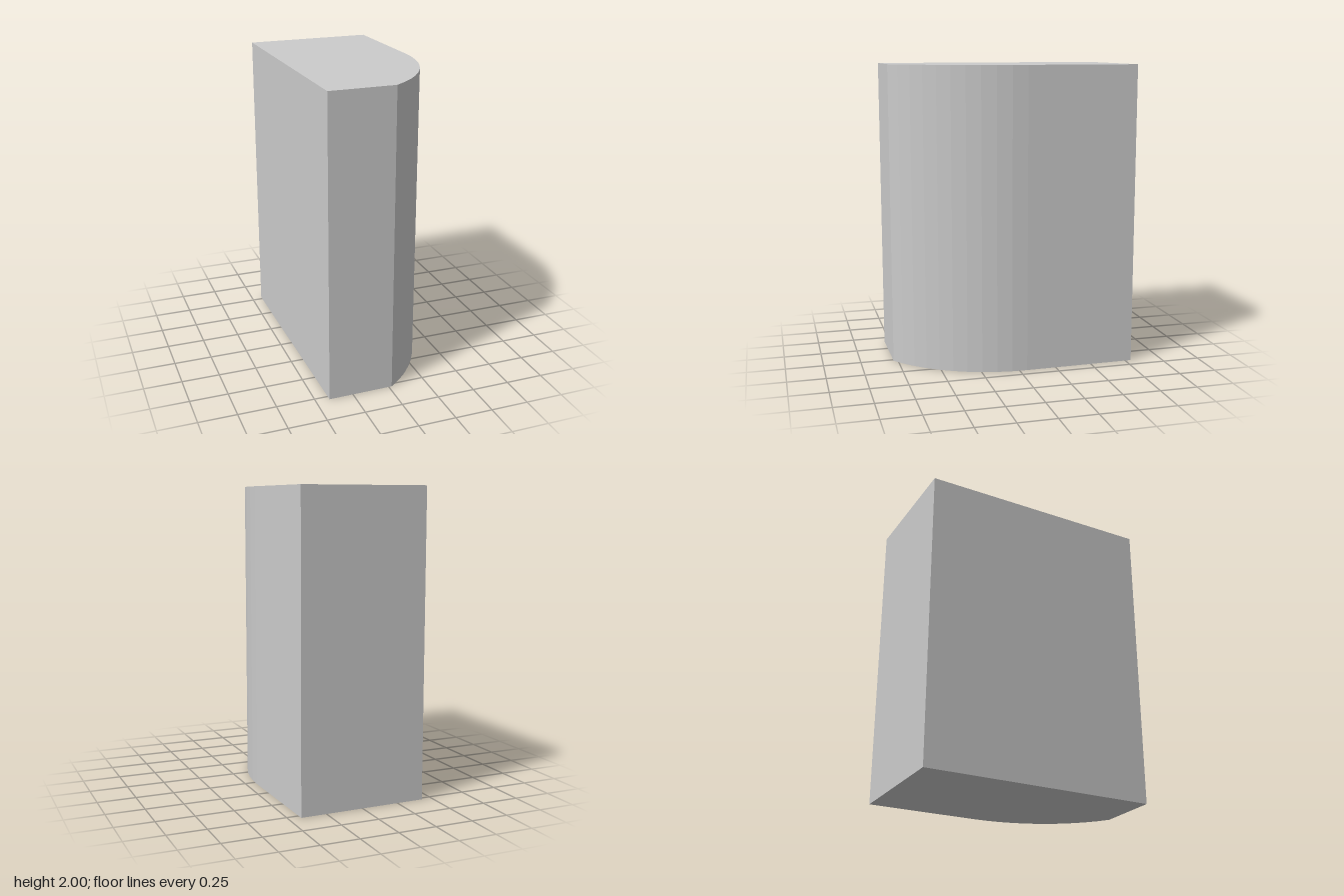
import * as THREE from 'three';

export function createModel() {
  const group = new THREE.Group();
  group.name = 'curvedBlock';

  // Plan outline, drawn with shape y = -z
  const plan = new THREE.Shape();
  plan.moveTo(-0.43, 0.775);
  plan.lineTo(-0.41, -0.785);
  plan.lineTo(0.02, -0.78);
  // Rounded front corner
  plan.bezierCurveTo(0.275, -0.605, 0.435, -0.29, 0.43, 0.05);
  plan.lineTo(0.42, 0.79);
  plan.closePath();

  // Upright prism with flat facets
  const geometry = new THREE.ExtrudeGeometry(plan, { depth: 2, bevelEnabled: false, curveSegments: 10 });
  geometry.rotateX(-Math.PI / 2);

  const block = new THREE.Mesh(geometry, new THREE.MeshStandardMaterial({ color: 0xcccccc, flatShading: true }));
  block.name = 'block';
  group.add(block);
  return group;
}
